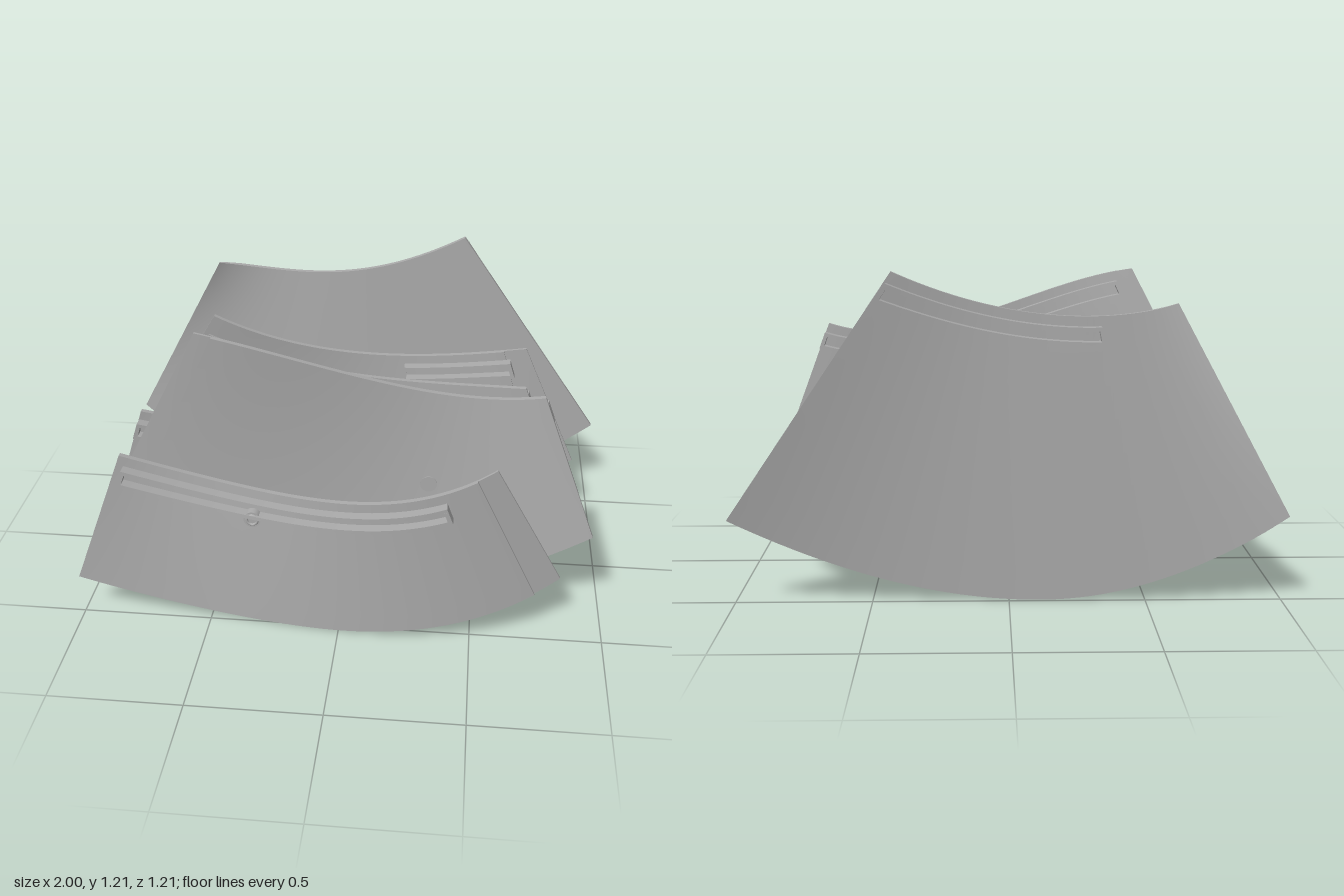
import * as THREE from 'three';

const grey = new THREE.MeshStandardMaterial({ color: 0xaaaaaa });
grey.name = 'plainGrey';

// Smooth polynomial through evenly spaced values.
function smooth(values, u) {
  const n = values.length - 1;
  return values.reduce((sum, value, i) => {
    let w = value;
    for (let j = 0; j <= n; j++) if (j !== i) w *= (u * n - j) / (i - j);
    return sum + w;
  }, 0);
}

// Depth waves along the hem and the rim of a panel
const ripple = { hem: [.015, -.015, .01, .035, -.078], rim: [-.035, -.06, -.01, .05, -.005] };
const swell = { hem: [.01, -.025, -.015, .01, -.097], rim: [-.03, -.065, -.01, .025, -.045] };
const twist = { hem: [-.085, -.025, .005, .018, .065], rim: [.055, .05, 0, -.035, -.005] };
const scoop = { hem: [0, 0, 0, -.025, .08], rim: [.085, .033, -.025, -.04, .025] };
const bow = { hem: [-.09, -.015, .02, .01, -.097], rim: [.025, -.015, 0, -.005, -.045] };

// Point on the panel: u runs from -x to +x, v from hem to rim.
// The hem is a parabola touching the ground at x = -0.1.
function surface(d, u, v) {
  const x = smooth([-1, -.1, d.hemX], u);
  const [yStart, yEnd] = d.hemY;
  const y = x < -.1 ? yStart * ((x + .1) / .9) ** 2 : yEnd * ((x + .1) / (d.hemX + .1)) ** 2;
  const hem = new THREE.Vector3(x, y, d.z + smooth(d.wave.hem, u));
  const rim = new THREE.Vector3(smooth(d.rimX, u), smooth(d.rimY, u), d.z + smooth(d.wave.rim, u));
  return hem.lerp(rim, v);
}

// Height fraction a given distance below the rim
function below(d, u, drop) {
  return 1 - drop / (surface(d, u, 1).y - surface(d, u, 0).y);
}

// Curved slab: a box bent onto the surface; drops limit it to a band under the rim.
function slab(name, d, [u0, u1], [back, front], drops) {
  const geo = new THREE.BoxGeometry(1, 1, 1, 40, drops ? 1 : 8, 1);
  const pos = geo.attributes.position;
  for (let i = 0; i < pos.count; i++) {
    const u = THREE.MathUtils.lerp(u0, u1, pos.getX(i) + .5);
    let v = pos.getY(i) + .5;
    if (drops) v = below(d, u, v > .5 ? drops[0] : drops[1]);
    const p = surface(d, u, v);
    pos.setXYZ(i, p.x, p.y, p.z + (pos.getZ(i) > 0 ? front : back));
  }
  geo.computeVertexNormals();
  const mesh = new THREE.Mesh(geo, grey);
  mesh.name = name;
  return mesh;
}

// Position along the panel where the rail line reaches a given x
function findU(d, x) {
  let lo = 0, hi = 1;
  for (let i = 0; i < 30; i++) {
    const u = (lo + hi) / 2;
    if (surface(d, u, below(d, u, .07)).x < x) lo = u; else hi = u;
  }
  return lo;
}

// Shallow open frame: two long walls closed by two short ends
function makeRail(d, start, end) {
  const group = new THREE.Group();
  group.name = 'rail';
  const depth = d.side > 0 ? [.008, .05] : [-.05, -.008];
  const u0 = findU(d, start), u1 = findU(d, end), wall = .01;
  group.add(
    slab('railTop', d, [u0, u1], depth, [.035, .049]),
    slab('railBottom', d, [u0, u1], depth, [.086, .1]),
    slab('railEnd', d, [u0, u0 + wall], depth, [.049, .086]),
    slab('railEnd', d, [u1 - wall, u1], depth, [.049, .086]),
  );
  return group;
}

// Round stud with a raised rim, on the front (side 1) or back (side -1)
function makeStud(x, y, z, side) {
  const group = new THREE.Group();
  group.name = 'stud';
  const core = new THREE.Mesh(new THREE.CylinderGeometry(.032, .032, .045, 32).rotateX(Math.PI / 2), grey);
  core.name = 'studCore';
  const ring = new THREE.Mesh(new THREE.TorusGeometry(.02, .005, 8, 32), grey);
  ring.name = 'studRing';
  ring.position.z = side * .0225;
  group.add(core, ring);
  group.position.set(x, y, z);
  return group;
}

// lap: share of the width that is half as thick, at the +x end, or at the -x end if negative
function makePanel(d) {
  const group = new THREE.Group();
  group.name = d.name;
  const sheet = d.lap > 0 ? [0, 1 - d.lap] : [-d.lap, 1];
  const lap = d.lap > 0 ? [1 - d.lap, 1] : [0, -d.lap];
  group.add(slab('sheet', d, sheet, [-.01, .01]));
  group.add(slab('lap', d, lap, d.pleats ? [0, .01] : [-.01, 0]));

  // Narrow steps on the back of the lap
  for (let i = 0; i < (d.pleats || 0); i++) {
    group.add(slab('pleat', d, [.012 * (i + 1), lap[1]], [-.002 * (i + 1), -.002 * i]));
  }
  for (const [start, end] of d.rails) group.add(makeRail(d, start, end));
  if (d.stud) group.add(makeStud(...d.stud, d.side));
  return group;
}

export function createModel() {
  const model = new THREE.Group();
  model.name = 'curvedPanels';
  model.add(
    makePanel({
      name: 'frontPanel', wave: ripple, z: .5, hemX: .83, hemY: [.18, .23],
      rimX: [-.81, .57], rimY: [.7, .57, .73], lap: .05, side: 1, rails: [[-.81, .41]], stud: [-.32, .47, .48],
    }),
    makePanel({
      name: 'secondPanel', wave: twist, z: .3, hemX: .94, hemY: [.24, .39],
      rimX: [-.53, .73], rimY: [1.15, 1.04, .92, .93], lap: -.05, side: -1, rails: [[-.48, .77]], stud: [.32, .54, .278],
    }),
    makePanel({
      name: 'thirdPanel', wave: swell, z: .1, hemX: .8, hemY: [.12, .165],
      rimX: [-.83, .57], rimY: [.67, .55, .7], lap: .05, side: 1, rails: [[-.85, .57]],
    }),
    makePanel({
      name: 'fourthPanel', wave: scoop, z: -.145, hemX: .88, hemY: [.25, .24],
      rimX: [-.57, .68], rimY: [.95, .745, .75], lap: -.05, side: -1, rails: [[-.58, -.2], [.48, .73]], stud: [.32, .38, -.172],
    }),
    makePanel({
      name: 'fifthPanel', wave: scoop, z: -.355, hemX: .9, hemY: [.25, .34],
      rimX: [-.59, .68], rimY: [.94, .745, .82], lap: .07, side: 1, rails: [[.18, .63]],
    }),
    makePanel({
      name: 'backPanel', wave: bow, z: -.5, hemX: 1, hemY: [.34, .34],
      rimX: [-.6, .41], rimY: [1.09, 1.06, 1.21], lap: -.07, side: -1, rails: [[-.33, .45]], pleats: 4,
    }),
  );
  return model;
}
